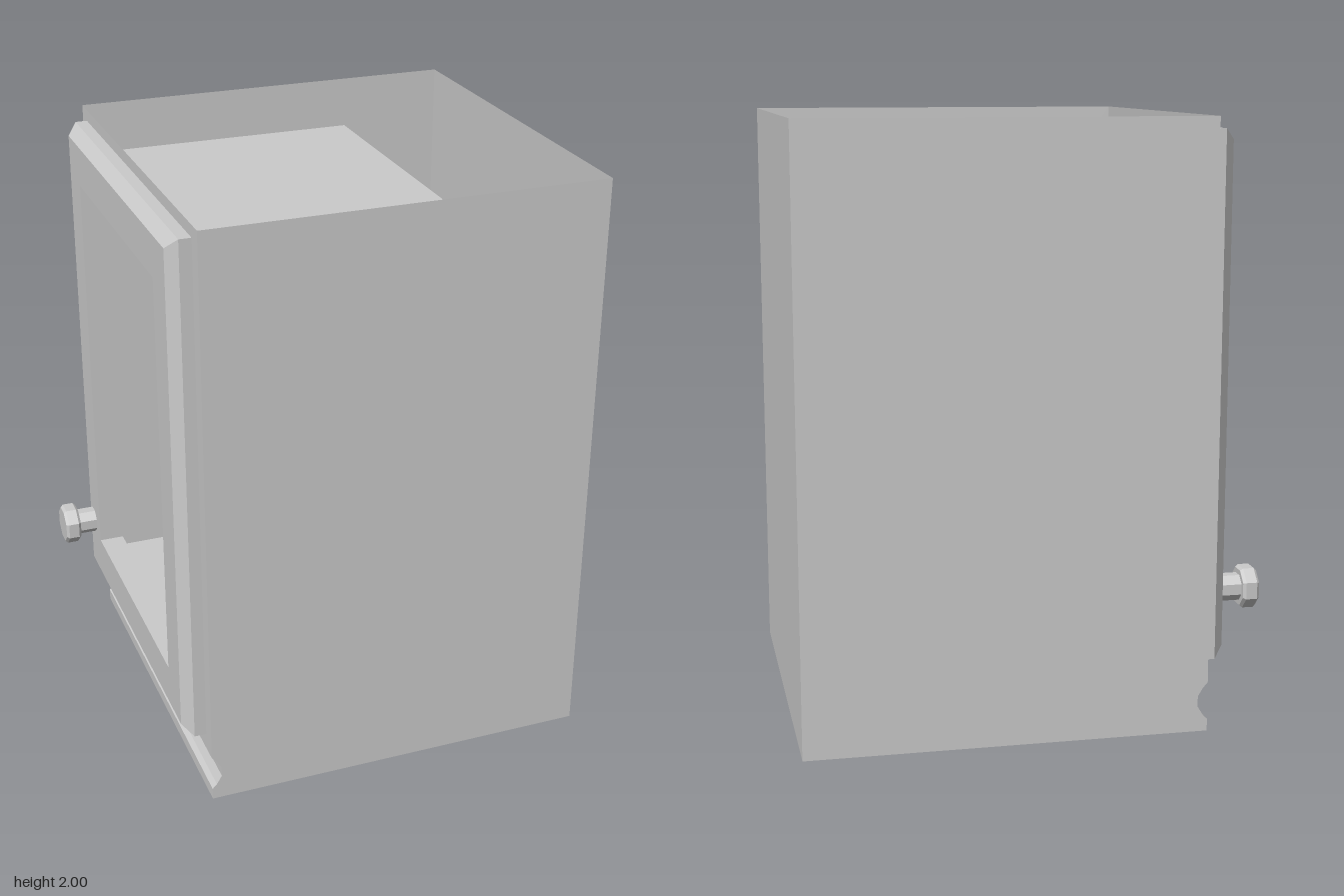
import * as THREE from 'three';

const material = new THREE.MeshStandardMaterial({ color: 0xcccccc, flatShading: true, side: THREE.DoubleSide });

// Surface spanned between rings of points; each ring is joined to the next
function loft(rings, closed) {
  const pos = [], index = [], n = rings[0].length;
  rings.forEach(r => r.forEach(p => pos.push(...p)));
  for (let k = 0; k < rings.length - 1; k++) {
    for (let i = 0; i < (closed ? n : n - 1); i++) {
      const j = (i + 1) % n, a = k * n, b = a + n;
      index.push(a + i, a + j, b + j, a + i, b + j, b + i);
    }
  }
  const g = new THREE.BufferGeometry();
  g.setAttribute('position', new THREE.Float32BufferAttribute(pos, 3));
  g.setIndex(index);
  const flat = g.toNonIndexed();
  flat.computeVertexNormals();
  return flat;
}

// Rectangle of corners in a plane of constant x
const rect = (x, z, y0, y1) => [[x, y0, -z], [x, y0, z], [x, y1, z], [x, y1, -z]];
const shapeOf = pts => new THREE.Shape(pts.map(p => new THREE.Vector2(...p)));

export function createModel() {
  const model = new THREE.Group();
  const add = (name, geometry, parent = model) => {
    const mesh = new THREE.Mesh(geometry, material);
    mesh.name = name;
    parent.add(mesh);
    return mesh;
  };

  const X0 = -0.57, X1 = 0.76, Z = 0.665, H = 2;
  const boxZ = 0.53, boxY0 = 0.315, boxY1 = 1.87, boxX0 = -0.56, boxX1 = 0.35;

  // Thin outer shell, open at the top, with a cove along the foot of the door side
  const shell = new THREE.Group();
  shell.name = 'cabinetShell';
  model.add(shell);
  const cove = [[X0, 0], [X0, 0.04], [-0.555, 0.055], [-0.537, 0.085],
    [-0.537, 0.12], [-0.555, 0.15], [X0, 0.165]];
  const sideShape = shapeOf([[X1, 0], [X1, H], [X0, H], ...cove.slice().reverse()]);
  for (const s of [1, -1]) {
    const side = new THREE.ShapeGeometry(sideShape);
    if (s < 0) side.rotateY(Math.PI).scale(-1, 1, 1);
    add(s > 0 ? 'sideWallFront' : 'sideWallBack', side.translate(0, 0, s * Z), shell);
  }
  const strip = pts => loft([pts.map(([x, y]) => [x, y, -Z]), pts.map(([x, y]) => [x, y, Z])], false);
  add('floorAndRearWall', strip([[X1, H], [X1, 0], [X0, 0]]), shell);
  add('coveMoulding', strip(cove), shell);

  // Face panel around the door opening
  const face = shapeOf([[-Z, 0.165], [Z, 0.165], [Z, H], [-Z, H]]);
  face.holes.push(shapeOf([[-boxZ, boxY0], [-boxZ, boxY1], [boxZ, boxY1], [boxZ, boxY0]]));
  add('facePanel', new THREE.ShapeGeometry(face).rotateY(-Math.PI / 2).translate(X0, 0, 0), shell);

  // Inner compartment, open toward the door
  add('compartmentWalls', loft([
    rect(boxX1, boxZ, boxY0, boxY1), rect(boxX0, boxZ, boxY0, boxY1)], true));
  const back = new THREE.PlaneGeometry(2 * boxZ, boxY1 - boxY0).rotateY(-Math.PI / 2);
  add('compartmentBack', back.translate(boxX1, (boxY0 + boxY1) / 2, 0));

  // Shelves with a bevelled leading edge
  const shelfShape = shapeOf([[-0.36, 0], [0.53, 0], [0.53, 0.13], [-0.295, 0.13], [-0.36, 0.068]]);
  for (const y of [0.695, 1.24]) {
    const g = new THREE.ExtrudeGeometry(shelfShape, { depth: 1.21, bevelEnabled: false });
    add('shelf', g.translate(0, y, -0.605));
  }

  // Door frame: chamfered outside, square opening inside
  add('doorFrame', loft([
    rect(-0.56, 0.61, 0.225, 1.96),
    rect(-0.61, 0.61, 0.225, 1.96),
    rect(-0.645, 0.575, 0.26, 1.925),
    rect(-0.645, 0.445, 0.4, 1.786),
    rect(-0.56, 0.445, 0.4, 1.786),
    rect(-0.56, 0.61, 0.225, 1.96)], true));

  // Eight-sided door knob
  const profile = [[0.046, 0], [0.046, 0.065], [0.064, 0.065], [0.0725, 0.074],
    [0.0725, 0.111], [0.064, 0.12], [0, 0.12]].map(p => new THREE.Vector2(...p));
  const knob = add('doorKnob', new THREE.LatheGeometry(profile, 8, Math.PI / 8));
  knob.rotation.z = Math.PI / 2;
  knob.position.set(-0.645, 0.447, -0.532);

  return model;
}
